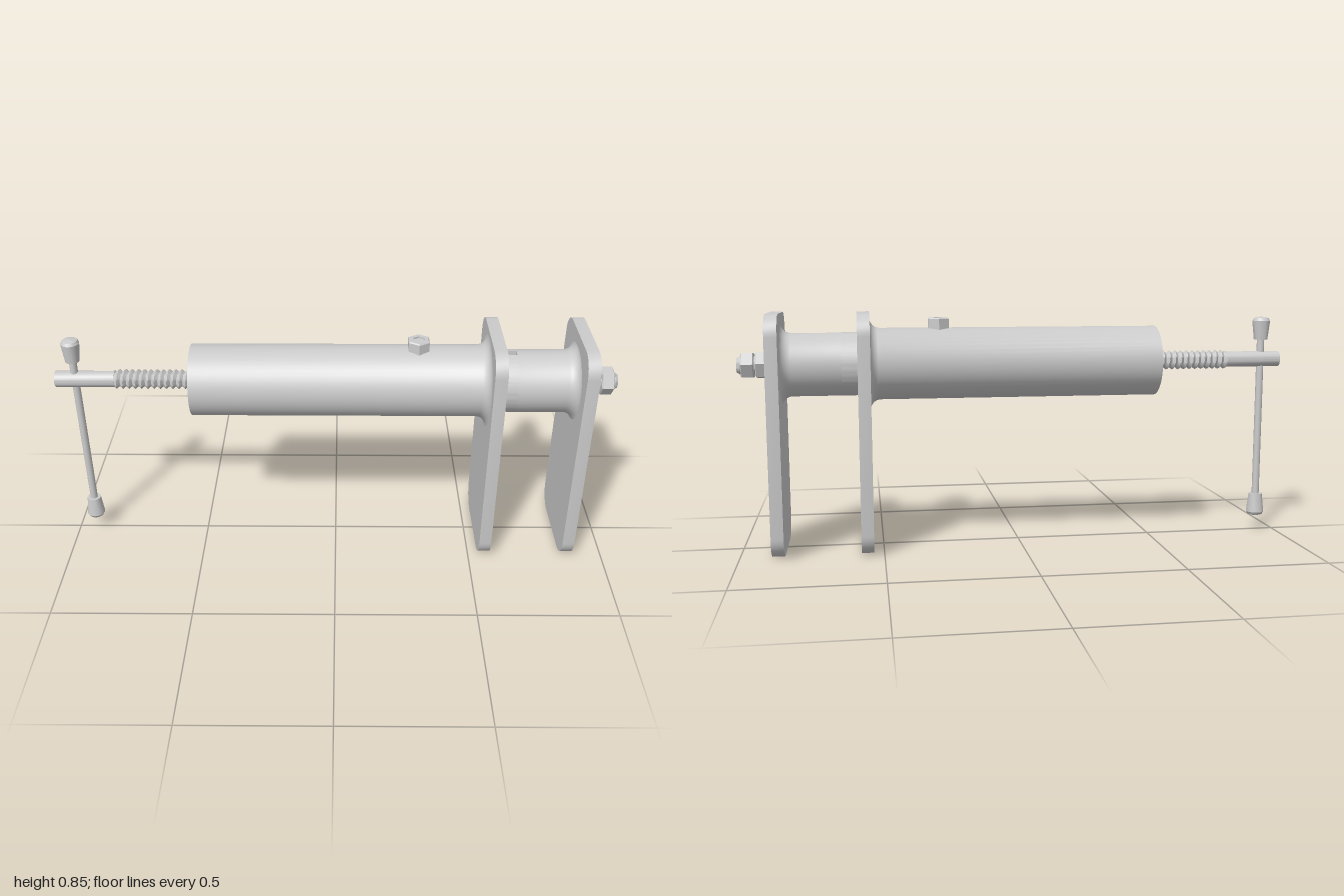
import * as THREE from 'three';
import { toCreasedNormals } from 'three/addons/utils/BufferGeometryUtils.js';

const AXIS_Y = 0.662;
const material = new THREE.MeshStandardMaterial({ color: 0xcccccc });

function add(parent, name, geometry, x = 0, y = 0, z = 0) {
  const mesh = new THREE.Mesh(geometry, material);
  mesh.name = name;
  mesh.position.set(x, y, z);
  parent.add(mesh);
  return mesh;
}

// Turned solid from [radius, height] pairs, listed bottom to top
function turned(profile, segments = 48, crease = 0.5) {
  const points = profile.map(([r, h]) => new THREE.Vector2(r, h));
  return toCreasedNormals(new THREE.LatheGeometry(points, segments), crease);
}

// Same, lying along +x
const turnedX = (profile, segments, crease) => turned(profile, segments, crease).rotateZ(-Math.PI / 2);

// Concave weld fillet that grows by `size` while reaching x = end
function fillet(radius, end, size) {
  return Array.from({ length: 7 }, (_, i) => {
    const a = (i / 6) * Math.PI / 2;
    return [radius + size * (1 - Math.cos(a)), end - size + size * Math.sin(a)];
  });
}

// Chamfered hexagonal nut profile
function hexProfile(r, h) {
  const c = r * 0.1;
  return [[0, 0], [r - c, 0], [r, c * 0.7], [r, h - c * 0.7], [r - c, h], [0, h]];
}

// Rounded plate with a thickness along x
function plateGeometry(width, height, thickness, r) {
  const w = width / 2, s = new THREE.Shape();
  s.moveTo(-w + r, 0);
  s.lineTo(w - r, 0);
  s.absarc(w - r, r, r, -Math.PI / 2, 0);
  s.absarc(w - r, height - r, r, 0, Math.PI / 2);
  s.absarc(-w + r, height - r, r, Math.PI / 2, Math.PI);
  s.absarc(-w + r, r, r, Math.PI, Math.PI * 1.5);
  const g = new THREE.ExtrudeGeometry(s, { depth: thickness, bevelEnabled: false, curveSegments: 4 });
  return toCreasedNormals(g.rotateY(Math.PI / 2), 0.5);
}

// Round bar with a keyway along its top
function keyedBar(radius, slotWidth, slotDepth, length) {
  const half = Math.asin(slotWidth / 2 / radius), s = new THREE.Shape();
  s.absarc(0, 0, radius, Math.PI / 2 + half, Math.PI * 2.5 - half);
  s.lineTo(slotWidth / 2, radius - slotDepth);
  s.lineTo(-slotWidth / 2, radius - slotDepth);
  s.closePath();
  const g = new THREE.ExtrudeGeometry(s, { depth: length, bevelEnabled: false, curveSegments: 48 });
  return toCreasedNormals(g.rotateY(Math.PI / 2), 0.5);
}

// Helical thread along x: the radius follows a triangle wave of height and angle
function threadGeometry(root, crest, length, turns) {
  const g = new THREE.CylinderGeometry(1, 1, length, 24, turns * 8, true);
  const p = g.attributes.position, uv = g.attributes.uv;
  for (let i = 0; i < p.count; i++) {
    const phase = ((p.getY(i) / length + 0.5) * turns + uv.getX(i)) % 1;
    const r = root + (crest - root) * (1 - Math.abs(2 * phase - 1));
    p.setX(i, p.getX(i) * r);
    p.setZ(i, p.getZ(i) * r);
  }
  return toCreasedNormals(g.rotateZ(-Math.PI / 2), 0.6);
}

export function createModel() {
  const model = new THREE.Group();
  const shaft = new THREE.Group();
  shaft.name = 'shaftAssembly';
  shaft.position.y = AXIS_Y;
  model.add(shaft);

  // Main barrel, welded to the inner plate
  add(shaft, 'barrel', turnedX([[0, -0.512], [0.128, -0.512], ...fillet(0.128, 0.536, 0.036), [0, 0.536]]));

  // Sliding ram with its keyway, welded to the outer plate
  add(shaft, 'keyedRam', keyedBar(0.112, 0.03, 0.025, 0.1), 0.535);
  add(shaft, 'ram', turnedX([[0, 0.635], [0.112, 0.635], ...fillet(0.112, 0.847, 0.038), [0, 0.847]]));

  // Jaw plates
  add(model, 'innerPlate', plateGeometry(0.386, 0.845, 0.044, 0.075), 0.536);
  add(model, 'outerPlate', plateGeometry(0.386, 0.845, 0.044, 0.075), 0.845);

  // End stud with two locked nuts
  add(shaft, 'endStud', turnedX([[0, 0.88], [0.032, 0.88], [0.032, 0.989], [0.025, 1], [0, 1]], 24));
  [0.89, 0.94].forEach((x, i) => {
    const nut = add(shaft, 'endNut', turnedX(hexProfile(0.05, 0.045), 6, 0.2), x);
    nut.rotation.x = i ? 0.1 : 0.17;
  });

  // Guide screw on top of the barrel: hexagonal rim around a recessed core
  const guide = new THREE.Group();
  guide.name = 'guideScrew';
  guide.position.set(0.29, 0.783, 0);
  model.add(guide);
  add(guide, 'guideNut', turned([[0.042, 0], [0.042, 0.038], [0.038, 0.042], [0.022, 0.042], [0.022, 0.02]], 6, 0.2));
  add(guide, 'guideCore', turned([[0, 0], [0.024, 0], [0.024, 0.032], [0.02, 0.036], [0, 0.036]], 20));

  // Drive screw
  add(shaft, 'screwThread', threadGeometry(0.025, 0.036, 0.29, 13), -0.645);
  add(shaft, 'screwShank', turnedX([[0, -1], [0.029, -1], [0.029, -0.788], [0, -0.788]], 24));

  // Sliding handle with a flared knob on each end
  const handle = new THREE.Group();
  handle.name = 'handle';
  handle.position.set(-0.931, 0.438, 0);
  model.add(handle);
  add(handle, 'handleBar', new THREE.CylinderGeometry(0.0135, 0.0135, 0.66, 16));
  for (const end of [0, Math.PI]) {
    const knob = add(handle, 'handleKnob', turned(
      [[0, 0.297], [0.025, 0.297], [0.033, 0.368], [0.027, 0.378], [0.014, 0.382], [0, 0.383]], 20));
    knob.rotation.x = end;
  }
  return model;
}
